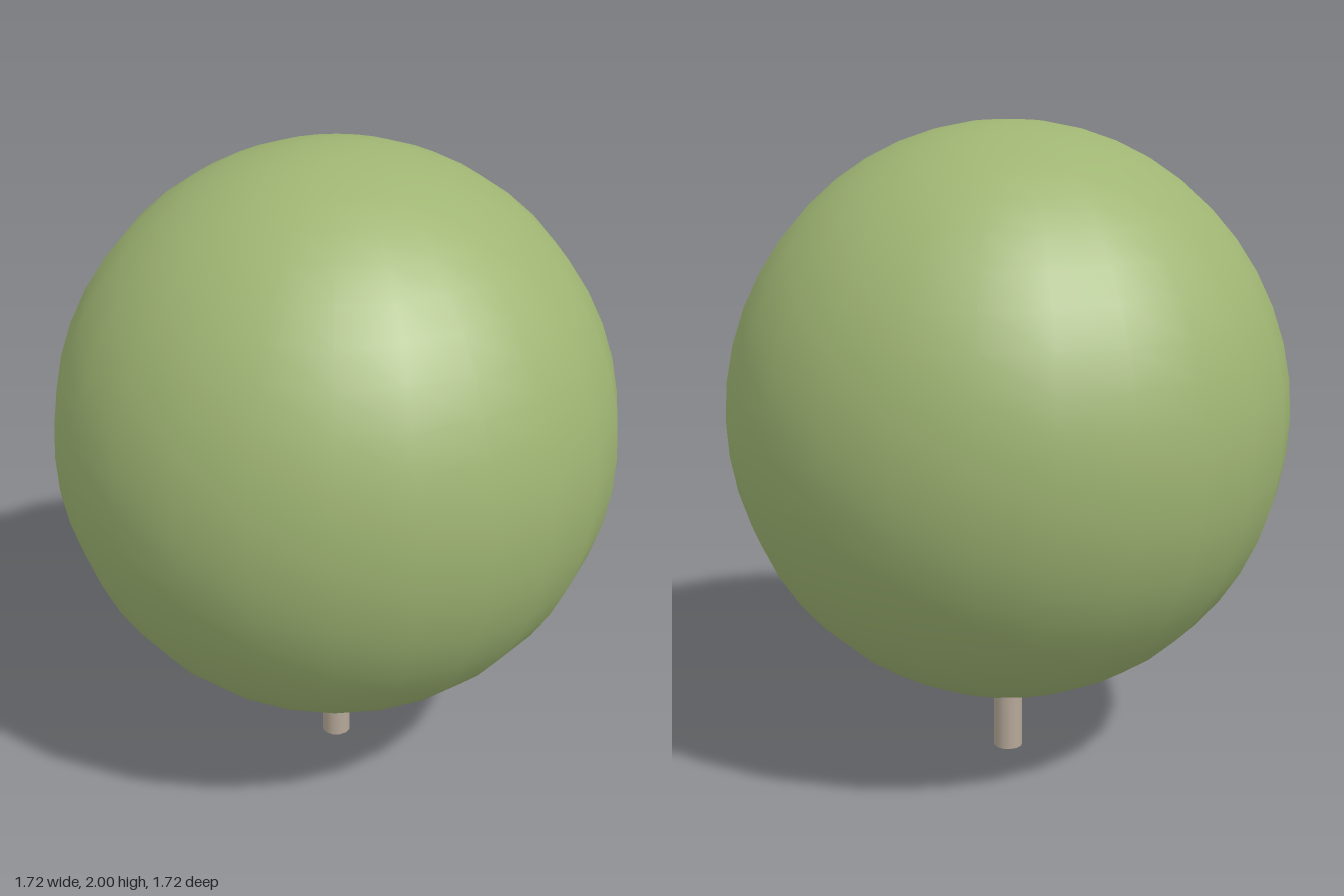
import * as THREE from 'three';

export function createModel() {
  const tree = new THREE.Group();
  tree.name = 'roundTree';

  // Ball-shaped crown, slightly taller than wide
  const crown = new THREE.Mesh(
    new THREE.SphereGeometry(1, 24, 24),
    new THREE.MeshStandardMaterial({ color: 0x9fb573 })
  );
  crown.name = 'crown';
  crown.scale.set(0.862, 0.885, 0.862);
  crown.position.y = 1.115;
  tree.add(crown);

  // Thin trunk, its top set into the crown
  const trunkHeight = 0.26;
  const trunk = new THREE.Mesh(
    new THREE.CylinderGeometry(0.046, 0.046, trunkHeight, 12),
    new THREE.MeshStandardMaterial({ color: 0xb5a898 })
  );
  trunk.name = 'trunk';
  trunk.position.y = trunkHeight / 2;
  tree.add(trunk);

  return tree;
}
